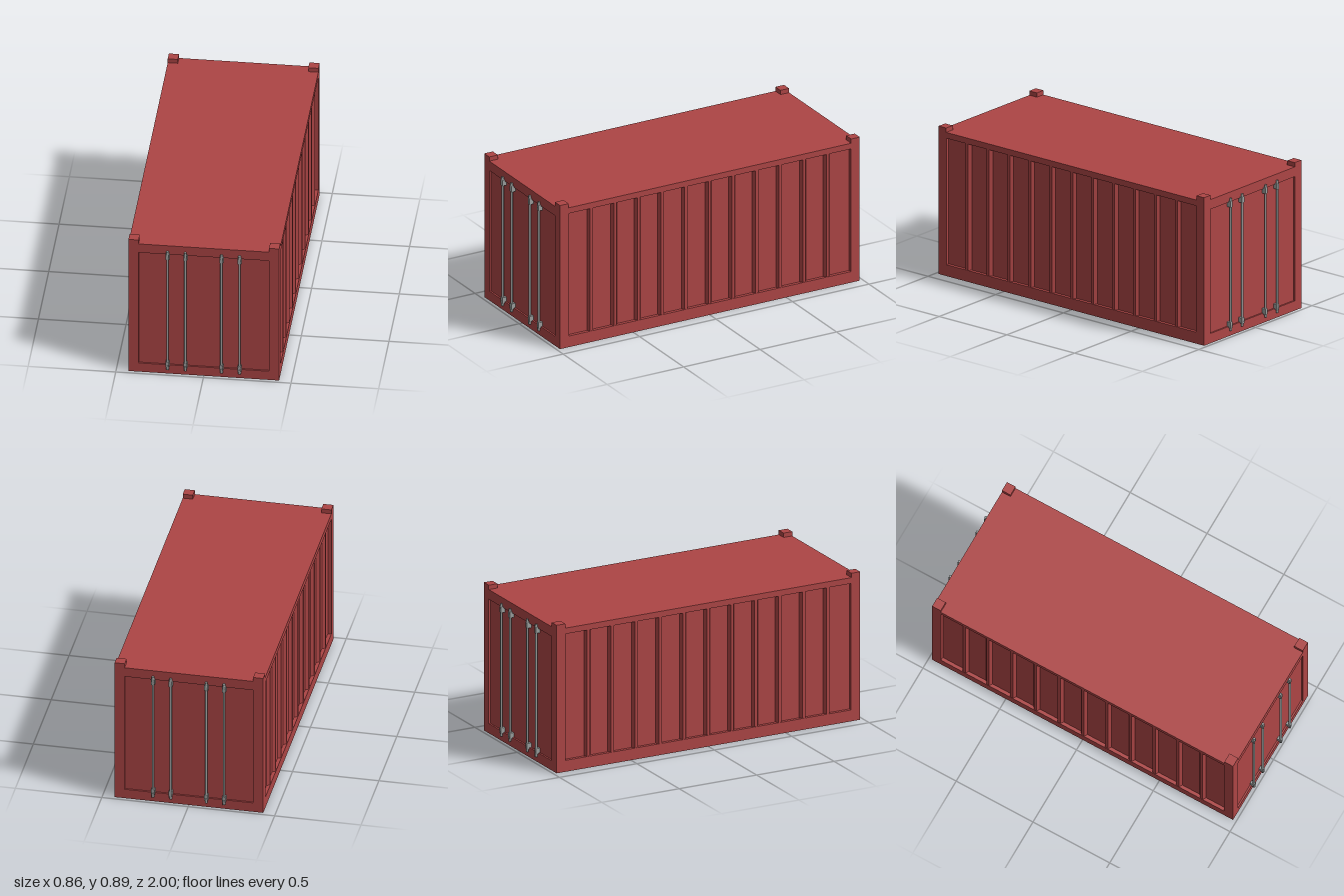
import * as THREE from 'three';

const W = 0.86, H = 0.86, L = 1.96;     // body size
const SIDE = 0.02, END = 0.01;          // recess depth of side walls and doors

export function createModel() {
  const red = new THREE.MeshStandardMaterial({ color: 0xad4545 });
  red.name = 'containerRed';
  const steel = new THREE.MeshStandardMaterial({ color: 0x9da1a0 });
  steel.name = 'steelGrey';

  const model = new THREE.Group();
  model.name = 'shippingContainer';

  const add = (parent, name, geometry, material, x = 0, y = 0, z = 0) => {
    const mesh = new THREE.Mesh(geometry, material);
    mesh.name = name;
    mesh.position.set(x, y, z);
    parent.add(mesh);
    return mesh;
  };

  // Rectangular frame with an opening, facing +z
  const frame = (width, openWidth, openBottom, openTop, depth) => {
    const shape = new THREE.Shape();
    shape.moveTo(-width / 2, 0).lineTo(width / 2, 0).lineTo(width / 2, H).lineTo(-width / 2, H).closePath();
    const hole = new THREE.Path();
    const w = openWidth / 2;
    hole.moveTo(-w, openBottom).lineTo(-w, openTop).lineTo(w, openTop).lineTo(w, openBottom).closePath();
    shape.holes.push(hole);
    return new THREE.ExtrudeGeometry(shape, { depth, bevelEnabled: false });
  };

  // Inner body, whose faces form the recessed walls and doors
  add(model, 'body', new THREE.BoxGeometry(W - 2 * SIDE, H, L - 2 * END), red, 0, H / 2, 0);

  // Corrugated side walls: frame plus tapered vertical ribs
  const bottom = 0.068, top = 0.825, ribDepth = SIDE - 0.002;
  const sideFrame = frame(L, 1.844, bottom, top, SIDE);
  const ribShape = new THREE.Shape();
  ribShape.moveTo(-0.021, 0).lineTo(0.021, 0).lineTo(0.009, -ribDepth).lineTo(-0.009, -ribDepth).closePath();
  const ribGeometry = new THREE.ExtrudeGeometry(ribShape, { depth: top - bottom, bevelEnabled: false });
  ribGeometry.rotateX(-Math.PI / 2);    // extrusion upwards, rib outwards to +z
  for (const s of [1, -1]) {
    const side = new THREE.Group();
    side.name = s > 0 ? 'leftSide' : 'rightSide';
    side.rotation.y = s * Math.PI / 2;
    add(side, 'sideFrame', sideFrame, red, 0, 0, W / 2 - SIDE);
    for (let i = -5; i <= 5; i++) {
      add(side, 'wallRib', ribGeometry, red, i * 0.1545, bottom, W / 2 - SIDE);
    }
    model.add(side);
  }

  // Door ends with locking bars
  const endFrame = frame(W, 0.744, 0.058, 0.802, END);
  const barGeometry = new THREE.CylinderGeometry(0.007, 0.007, 0.75, 12);
  const tipGeometry = new THREE.CylinderGeometry(0.0075, 0.009, 0.03, 12);
  const bracketGeometry = new THREE.BoxGeometry(0.02, 0.034, 0.026);
  for (const s of [1, -1]) {
    const end = new THREE.Group();
    end.name = s > 0 ? 'frontEnd' : 'backEnd';
    end.rotation.y = s > 0 ? 0 : Math.PI;
    add(end, 'endFrame', endFrame, red, 0, 0, L / 2 - END);
    for (const x of [-0.206, -0.104, 0.102, 0.205]) {
      add(end, 'lockingBar', barGeometry, steel, x, 0.43, 0.989);
      for (const v of [1, -1]) {
        add(end, 'barBracket', bracketGeometry, steel, x, 0.43 + v * 0.362, 0.983);
        add(end, 'barTip', tipGeometry, steel, x, 0.43 + v * 0.382, 0.99).rotation.x = v > 0 ? 0 : Math.PI;
      }
    }
    model.add(end);
  }

  // Raised corner castings
  const cornerGeometry = new THREE.BoxGeometry(0.058, 0.035, 0.056);
  for (const x of [-1, 1]) for (const z of [-1, 1]) {
    add(model, 'cornerCasting', cornerGeometry, red, x * (W / 2 - 0.029), H + 0.0085, z * (L / 2 - 0.028));
  }
  return model;
}
